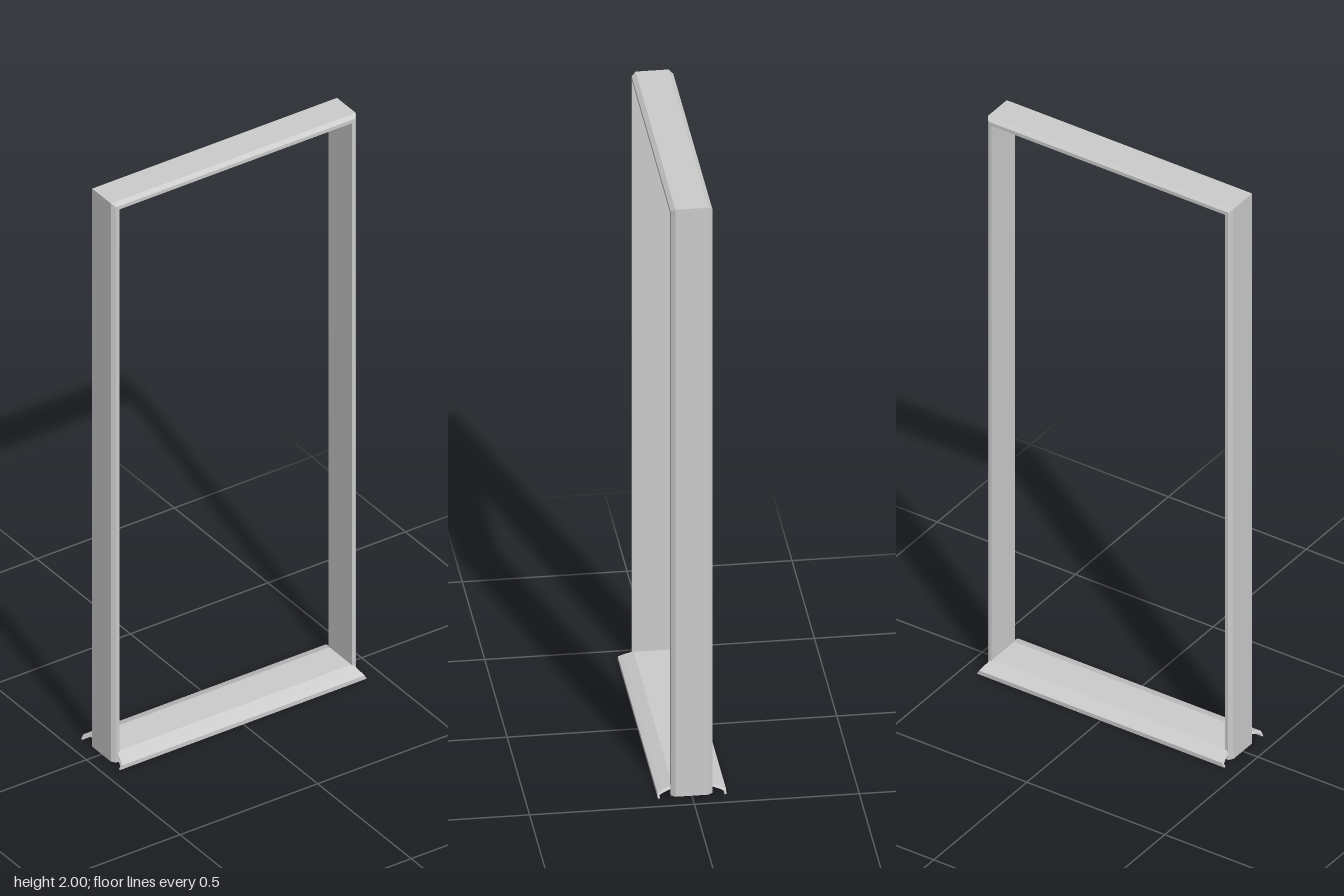
import * as THREE from 'three';

const material = new THREE.MeshStandardMaterial({ color: 0xcccccc, flatShading: true, side: THREE.DoubleSide });

// Mitred jambs and head: one moulding profile swept up, across and down
function frameGeometry() {
  const halfWidth = 0.445, height = 2;
  // [inset from the outer edge, z]
  const profile = [[0, 0.05], [0.01, 0.063], [0.022, 0.063], [0.022, -0.063], [0.01, -0.063], [0, -0.05]];
  const stations = [[-1, 0], [-1, 1], [1, 1], [1, 0]];
  const at = (s, i) => {
    const [side, top] = stations[s];
    const [d, z] = profile[i % profile.length];
    return [side * (halfWidth - d), top ? height - d : 0, z];
  };
  const positions = [];
  const tri = (...corners) => corners.forEach((c) => positions.push(...c));
  for (let s = 0; s < 3; s++) {
    for (let i = 0; i < profile.length; i++) {
      tri(at(s, i), at(s, i + 1), at(s + 1, i + 1));
      tri(at(s, i), at(s + 1, i + 1), at(s + 1, i));
    }
  }
  // Feet of the two jambs
  for (const s of [0, 3]) {
    for (let i = 1; i < profile.length - 1; i++) tri(at(s, 0), at(s, i + 1), at(s, i));
  }
  const geometry = new THREE.BufferGeometry();
  geometry.setAttribute('position', new THREE.Float32BufferAttribute(positions, 3));
  geometry.computeVertexNormals();
  return geometry;
}

// Threshold: hollow ramped section with ends sloping inward towards the top
function sillGeometry() {
  const outer = [[0.104, 0], [0.104, 0.014], [0.09, 0.021], [0.058, 0.035]];
  const inner = [[0.05, 0.027], [0.088, 0.014], [0.098, 0.009], [0.098, 0]];
  const mirror = (points) => points.map(([z, y]) => [-z, y]).reverse();
  const outline = [...outer, ...mirror(outer), ...mirror(inner), ...inner];
  const shape = new THREE.Shape(outline.map(([z, y]) => new THREE.Vector2(z, y)));
  const geometry = new THREE.ExtrudeGeometry(shape, { depth: 2, bevelEnabled: false });
  geometry.translate(0, 0, -1).rotateY(Math.PI / 2);
  const p = geometry.attributes.position;
  for (let i = 0; i < p.count; i++) p.setX(i, Math.sign(p.getX(i)) * (0.449 - 0.6 * p.getY(i)));
  geometry.computeVertexNormals();
  return geometry;
}

export function createModel() {
  const model = new THREE.Group();
  model.name = 'doorFrame';
  const add = (name, geometry) => {
    const mesh = new THREE.Mesh(geometry, material);
    mesh.name = name;
    model.add(mesh);
  };
  add('jambsAndHead', frameGeometry());
  add('threshold', sillGeometry());
  return model;
}
